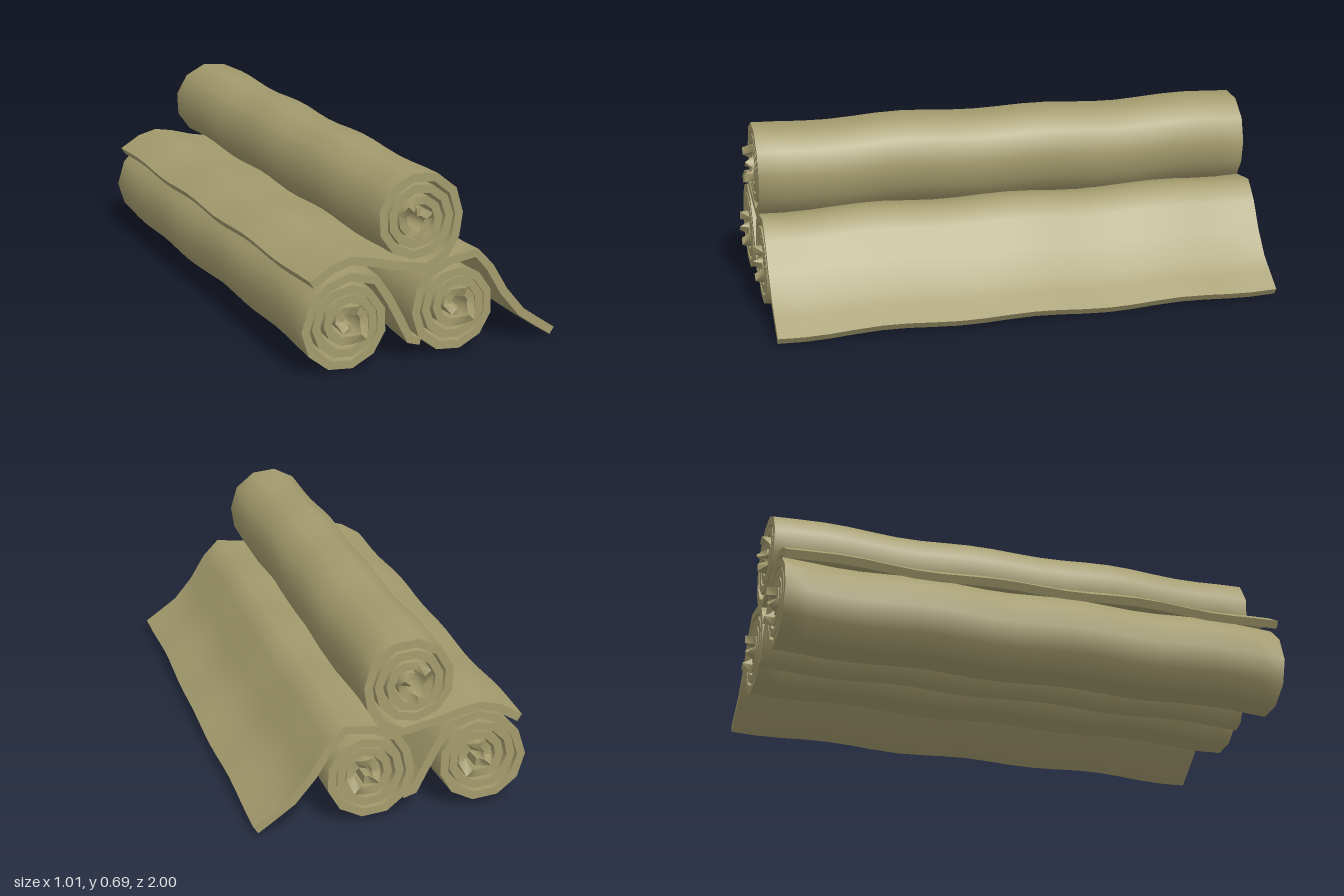
import * as THREE from 'three';
import { toCreasedNormals } from 'three/addons/utils/BufferGeometryUtils.js';

const HALF = 0.967;      // half length of the cloth
const THICK = 0.031;     // cloth thickness
const ROWS = 20;         // steps along the length
const PER_TURN = 11;     // facets per turn
const TURNS = 3.3;

// Clockwise spiral from the core outwards, followed by the loose end
function rollPath(core, centre, radius, endAngle, tail) {
  const n = Math.round(PER_TURN * TURNS);
  const pts = [];
  for (let i = 0; i <= n; i++) {
    const t = i / n;
    const a = endAngle + (n - i) / PER_TURN * Math.PI * 2;
    const r = Math.min(radius, 0.028 + (radius - 0.026) * t * 1.02);
    const cx = THREE.MathUtils.lerp(core[0], centre[0], t);
    const cy = THREE.MathUtils.lerp(core[1], centre[1], t);
    pts.push(new THREE.Vector2(cx + r * Math.cos(a), cy + r * Math.sin(a)));
  }
  return pts.concat(tail.map(([x, y]) => new THREE.Vector2(x, y)));
}

// Thick sheet swept along z, gently rippled, with ragged tips at the core
function clothGeometry(path, phase) {
  const pos = [], idx = [];
  const last = path.length - 1;
  const id = (i, k, side) => (i * (ROWS + 1) + k) * 2 + side;
  path.forEach((p, i) => {
    const prev = path[Math.max(0, i - 1)], next = path[Math.min(last, i + 1)];
    const d = next.clone().sub(prev).normalize();
    const tip = i < PER_TURN && i % 4 === 2 ? 0.033 : 0;
    for (let k = 0; k <= ROWS; k++) {
      const f = k / ROWS * 2 - 1;
      const z = f * (HALF + (k === 0 || k === ROWS ? tip : 0));
      const dx = 0.003 * Math.sin(5 * z + phase);
      const dy = 0.006 * Math.sin(11 * z + phase) + 0.003 * Math.sin(4 * z);
      for (const s of [1, -1]) {
        const h = s * THICK / 2;
        pos.push(p.x - d.y * h + dx, Math.max(0, p.y + d.x * h + dy), z);
      }
    }
  });
  const quad = (a, b, c, d) => idx.push(a, b, c, b, d, c);
  for (let i = 0; i < last; i++) {
    for (let k = 0; k < ROWS; k++) {
      quad(id(i, k, 0), id(i, k + 1, 0), id(i + 1, k, 0), id(i + 1, k + 1, 0));
      quad(id(i, k, 1), id(i + 1, k, 1), id(i, k + 1, 1), id(i + 1, k + 1, 1));
    }
    // front and back edges
    quad(id(i, ROWS, 0), id(i, ROWS, 1), id(i + 1, ROWS, 0), id(i + 1, ROWS, 1));
    quad(id(i, 0, 0), id(i + 1, 0, 0), id(i, 0, 1), id(i + 1, 0, 1));
  }
  // core edge and loose edge
  for (let k = 0; k < ROWS; k++) {
    quad(id(0, k, 0), id(0, k, 1), id(0, k + 1, 0), id(0, k + 1, 1));
    quad(id(last, k, 0), id(last, k + 1, 0), id(last, k, 1), id(last, k + 1, 1));
  }
  const g = new THREE.BufferGeometry();
  g.setAttribute('position', new THREE.Float32BufferAttribute(pos, 3));
  g.setIndex(idx);
  return toCreasedNormals(g, Math.PI / 3.2);
}

export function createModel() {
  const group = new THREE.Group();
  group.name = 'clothRolls';
  const cloth = new THREE.MeshStandardMaterial({ color: 0xa39b6d, side: THREE.DoubleSide });

  const rolls = [
    {
      name: 'rightRoll', core: [-0.32, 0.193], centre: [-0.335, 0.176], radius: 0.153, end: Math.PI,
      tail: [[-0.46, 0.265], [-0.4, 0.325], [-0.32, 0.352], [-0.22, 0.325], [-0.17, 0.25],
        [-0.125, 0.165], [-0.085, 0.085], [-0.045, 0.075]],
    },
    {
      name: 'leftRoll', core: [0.097, 0.19], centre: [0.083, 0.177], radius: 0.152, end: Math.PI,
      tail: [[-0.053, 0.255], [-0.015, 0.315], [0.06, 0.35], [0.17, 0.365], [0.225, 0.305],
        [0.285, 0.205], [0.36, 0.115], [0.42, 0.072], [0.492, 0.022]],
    },
    {
      name: 'topRoll', core: [-0.07, 0.51], centre: [-0.064, 0.515], radius: 0.156, end: 0,
      tail: [[0.08, 0.435], [0.04, 0.37], [-0.035, 0.333], [-0.16, 0.357], [-0.25, 0.383],
        [-0.32, 0.396], [-0.39, 0.378], [-0.47, 0.33]],
    },
  ];
  rolls.forEach((r, i) => {
    const path = rollPath(r.core, r.centre, r.radius, r.end, r.tail);
    const mesh = new THREE.Mesh(clothGeometry(path, i * 1.7), cloth);
    mesh.name = r.name;
    group.add(mesh);
  });
  return group;
}
